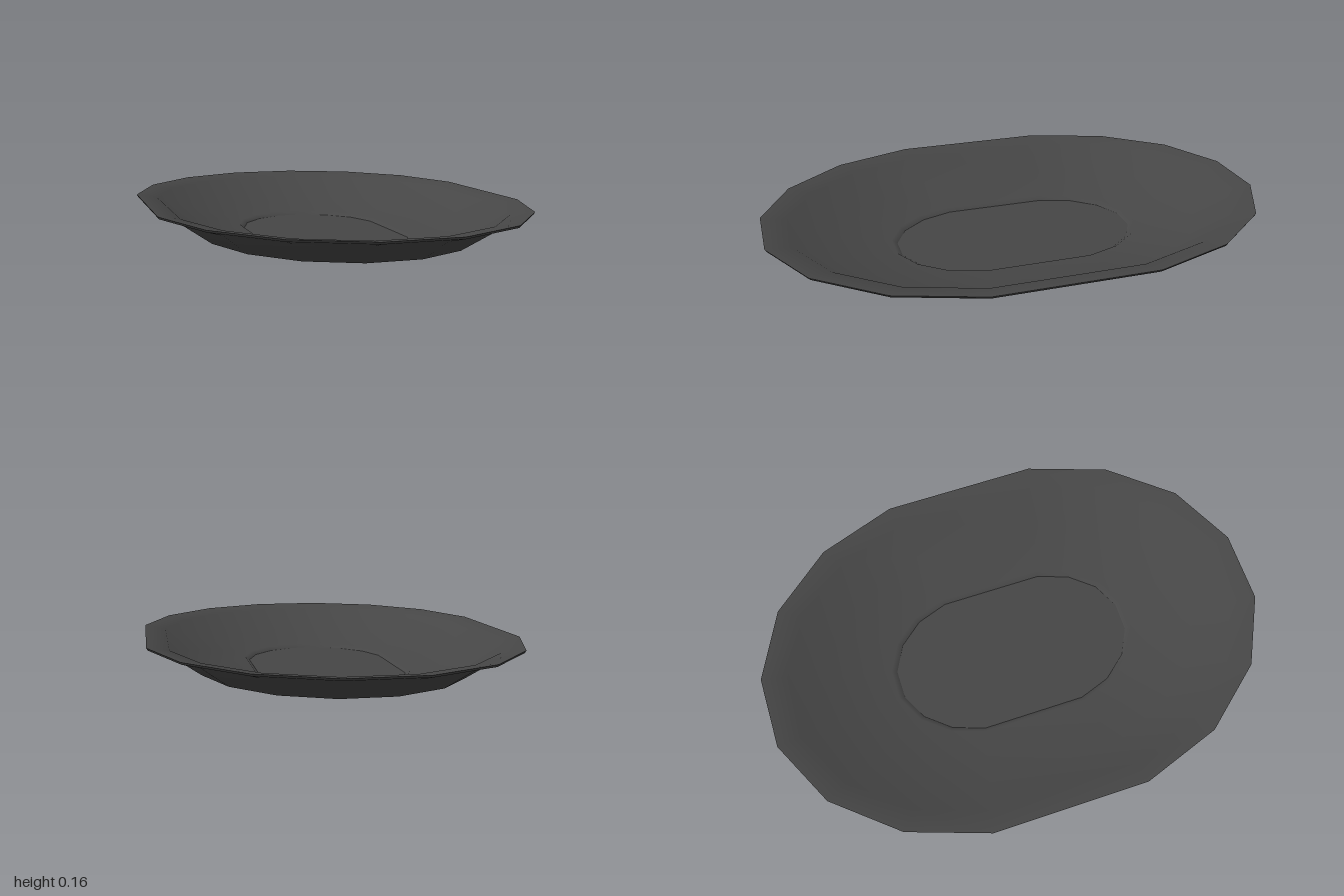
import * as THREE from 'three';
import { mergeVertices } from 'three/addons/utils/BufferGeometryUtils.js';

const SIDES = 16, Z_SCALE = 1.2, Z_SHIFT = 0.139;

// Turn a [radius, height] profile, then stretch it into an oval with straight flanks.
function ovalLathe(profile) {
  const points = profile.map(([r, y]) => new THREE.Vector2(r, y));
  let geo = new THREE.LatheGeometry(points, SIDES, Math.PI / SIDES);
  const pos = geo.attributes.position;
  for (let i = 0; i < pos.count; i++) {
    const z = pos.getZ(i);
    if (Math.abs(z) > 1e-5) pos.setZ(i, z * Z_SCALE + Math.sign(z) * Z_SHIFT);
  }
  geo.deleteAttribute('normal');
  geo.deleteAttribute('uv');
  geo = mergeVertices(geo, 1e-4);
  geo.computeVertexNormals();
  return geo;
}

export function createModel() {
  const model = new THREE.Group();
  model.name = 'ovalDish';
  const darkGrey = new THREE.MeshStandardMaterial({ color: 0x464646 });
  darkGrey.name = 'darkGrey';

  const parts = {
    // foot, outer wall and underside of the lip
    underside: [[0, 0], [0.316, 0], [0.525, 0.045], [0.648, 0.13], [0.725, 0.153], [0.73, 0.162]],
    // lip, sloping inner wall and the small step down to the well
    innerWall: [[0.73, 0.162], [0.645, 0.147], [0.522, 0.062], [0.308, 0.03], [0.29, 0.015]],
    // flat recessed well
    wellFloor: [[0.29, 0.015], [0, 0.015]],
  };
  for (const [name, profile] of Object.entries(parts)) {
    const mesh = new THREE.Mesh(ovalLathe(profile), darkGrey);
    mesh.name = name;
    model.add(mesh);
  }
  return model;
}
